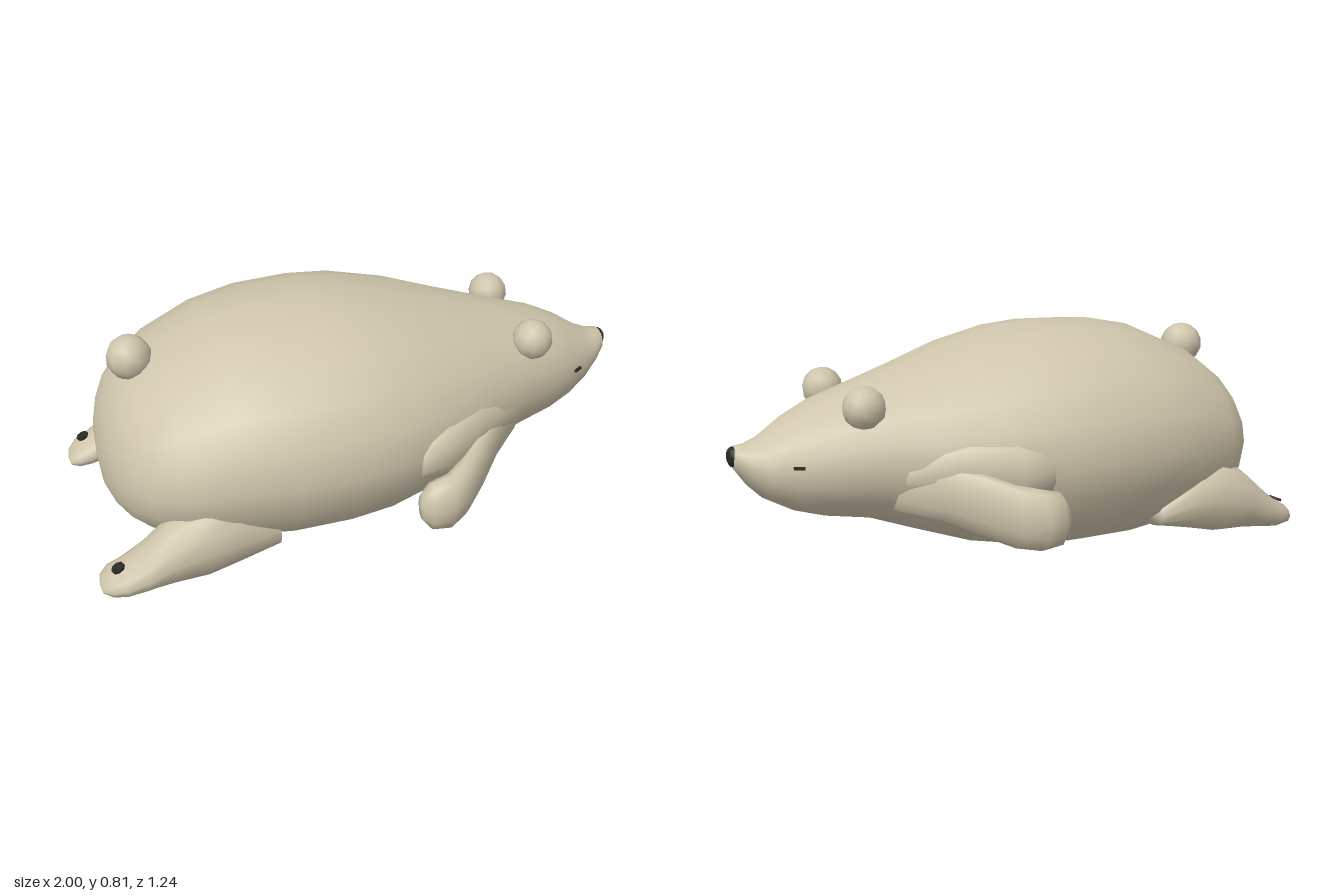
import * as THREE from 'three';

const fur = new THREE.MeshStandardMaterial({ color: 0xcfc5ab });
fur.name = 'beige fur';
const dark = new THREE.MeshStandardMaterial({ color: 0x2a2a24 });
dark.name = 'dark features';

// Skin elliptical rings [x, centreY, centreZ, radiusY, radiusZ] running along x.
function loft(sections, sides, side = 1) {
  const pos = [], index = [];
  sections.forEach(([x, y, z, ry, rz], i) => {
    for (let k = 0; k < sides; k++) {
      const a = (k / sides) * Math.PI * 2;
      pos.push(x, y + ry * Math.cos(a), side * z + rz * Math.sin(a));
      if (i === sections.length - 1) continue;
      const p = i * sides + k, q = i * sides + (k + 1) % sides;
      index.push(p, q, p + sides, q, q + sides, p + sides);
    }
  });
  const g = new THREE.BufferGeometry();
  g.setAttribute('position', new THREE.Float32BufferAttribute(pos, 3));
  g.setIndex(index);
  g.computeVertexNormals();
  return g;
}

export function createModel() {
  const model = new THREE.Group();
  model.name = 'lyingBear';
  const add = (name, geometry, material, x = 0, y = 0, z = 0) => {
    const m = new THREE.Mesh(geometry, material);
    m.name = name;
    m.position.set(x, y, z);
    model.add(m);
    return m;
  };

  // Body, head and muzzle: x, top, bottom, half width
  const profile = [
    [-0.925, 0.32, 0.32, 0], [-0.915, 0.43, 0.22, 0.13], [-0.89, 0.5, 0.17, 0.23],
    [-0.85, 0.57, 0.125, 0.315], [-0.79, 0.63, 0.085, 0.385], [-0.7, 0.69, 0.055, 0.45],
    [-0.52, 0.77, 0.02, 0.505], [-0.35, 0.803, 0.004, 0.54], [-0.15, 0.81, 0.005, 0.545],
    [0, 0.798, 0.02, 0.53], [0.2, 0.755, 0.06, 0.465], [0.4, 0.69, 0.13, 0.365],
    [0.55, 0.645, 0.185, 0.29], [0.7, 0.6, 0.21, 0.23], [0.8, 0.553, 0.24, 0.175],
    [0.89, 0.495, 0.29, 0.115], [0.94, 0.476, 0.34, 0.08], [0.975, 0.474, 0.39, 0.052],
    [0.985, 0.455, 0.41, 0.03], [0.985, 0.435, 0.435, 0],
  ];
  add('body', loft(profile.map(([x, t, b, w]) => [x, (t + b) / 2, 0, (t - b) / 2, w]), 20), fur);

  // Nose and tail
  add('nose', new THREE.SphereGeometry(0.034, 10, 8), dark, 0.98, 0.438, 0).scale.x = 0.6;
  add('tail', new THREE.SphereGeometry(0.077, 10, 7), fur, -0.78, 0.677, 0);

  for (const s of [1, -1]) {
    const tag = s > 0 ? 'Near' : 'Far';
    // Ear with a tapered root
    const ear = add('ear' + tag, new THREE.SphereGeometry(0.072, 10, 7), fur, 0.6, 0.597, s * 0.193);
    ear.rotation.x = s * 0.4;

    // Sleepy eye
    const eye = add('eye' + tag, new THREE.BoxGeometry(0.036, 0.009, 0.008), dark, 0.813, 0.417, s * 0.167);
    eye.rotation.y = s * 0.56;

    // Front leg swept backward and outward
    add('frontLeg' + tag, loft([
      [0.048, 0.25, 0.55, 0, 0], [0.055, 0.25, 0.55, 0.05, 0.03], [0.085, 0.25, 0.555, 0.09, 0.053],
      [0.15, 0.255, 0.555, 0.102, 0.063], [0.22, 0.265, 0.51, 0.105, 0.065],
      [0.3, 0.295, 0.435, 0.105, 0.067], [0.4, 0.325, 0.325, 0.1, 0.067],
      [0.52, 0.34, 0.22, 0.09, 0.06], [0.54, 0.34, 0.21, 0, 0],
    ], 12, s), fur);

    // Shoulder fold joining leg and flank
    add('shoulder' + tag, loft([
      [0.065, 0.39, 0.46, 0, 0], [0.075, 0.38, 0.45, 0.08, 0.065], [0.18, 0.39, 0.435, 0.1, 0.07],
      [0.33, 0.4, 0.36, 0.09, 0.065], [0.5, 0.38, 0.265, 0.06, 0.05], [0.55, 0.38, 0.24, 0, 0],
    ], 10, s), fur);

    // Hind leg stretched out behind, with a dark pad on top of the foot
    add('hindLeg' + tag, loft([
      [-1, 0.068, 0.38, 0, 0], [-0.995, 0.07, 0.38, 0.018, 0.045], [-0.965, 0.08, 0.385, 0.04, 0.073],
      [-0.92, 0.09, 0.392, 0.053, 0.083], [-0.85, 0.12, 0.398, 0.075, 0.092],
      [-0.76, 0.165, 0.4, 0.11, 0.1], [-0.65, 0.19, 0.405, 0.13, 0.1],
      [-0.54, 0.2, 0.4, 0.115, 0.095], [-0.4, 0.16, 0.38, 0.05, 0.07], [-0.38, 0.16, 0.37, 0, 0],
    ], 12, s), fur);
    const pad = add('footPad' + tag, new THREE.CylinderGeometry(0.023, 0.023, 0.009, 8), dark, -0.937, 0.139, s * 0.402);
    pad.rotation.z = 0.4;
  }
  return model;
}
